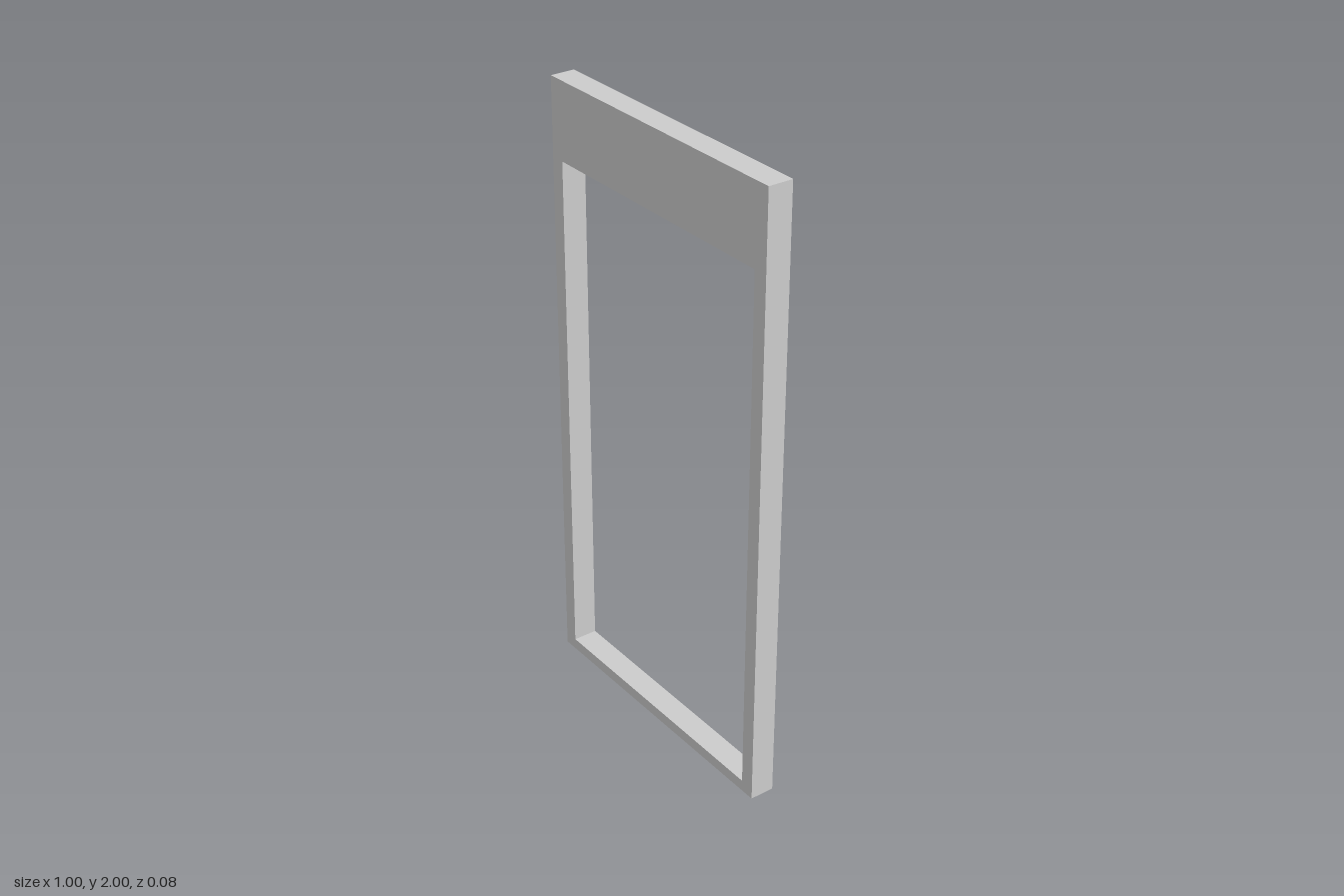
import * as THREE from 'three';

const WIDTH = 1, HEIGHT = 2, DEPTH = 0.08;
const OPENING = { halfWidth: 0.452, bottom: 0.037, top: 1.75 };

// Closed rectangle, usable as an outline or as a hole
function rectangle(PathType, x0, y0, x1, y1) {
  const path = new PathType();
  path.moveTo(x0, y0);
  path.lineTo(x1, y0);
  path.lineTo(x1, y1);
  path.lineTo(x0, y1);
  path.closePath();
  return path;
}

export function createModel() {
  const group = new THREE.Group();
  group.name = 'doorFrame';

  // One-piece frame: slim jambs and sill, tall header, open centre
  const outline = rectangle(THREE.Shape, -WIDTH / 2, 0, WIDTH / 2, HEIGHT);
  outline.holes.push(
    rectangle(THREE.Path, -OPENING.halfWidth, OPENING.bottom, OPENING.halfWidth, OPENING.top)
  );
  const geometry = new THREE.ExtrudeGeometry(outline, { depth: DEPTH, bevelEnabled: false });
  geometry.translate(0, 0, -DEPTH / 2);

  const frame = new THREE.Mesh(geometry, new THREE.MeshStandardMaterial({ color: 0xcccccc }));
  frame.name = 'frame';
  group.add(frame);

  return group;
}
